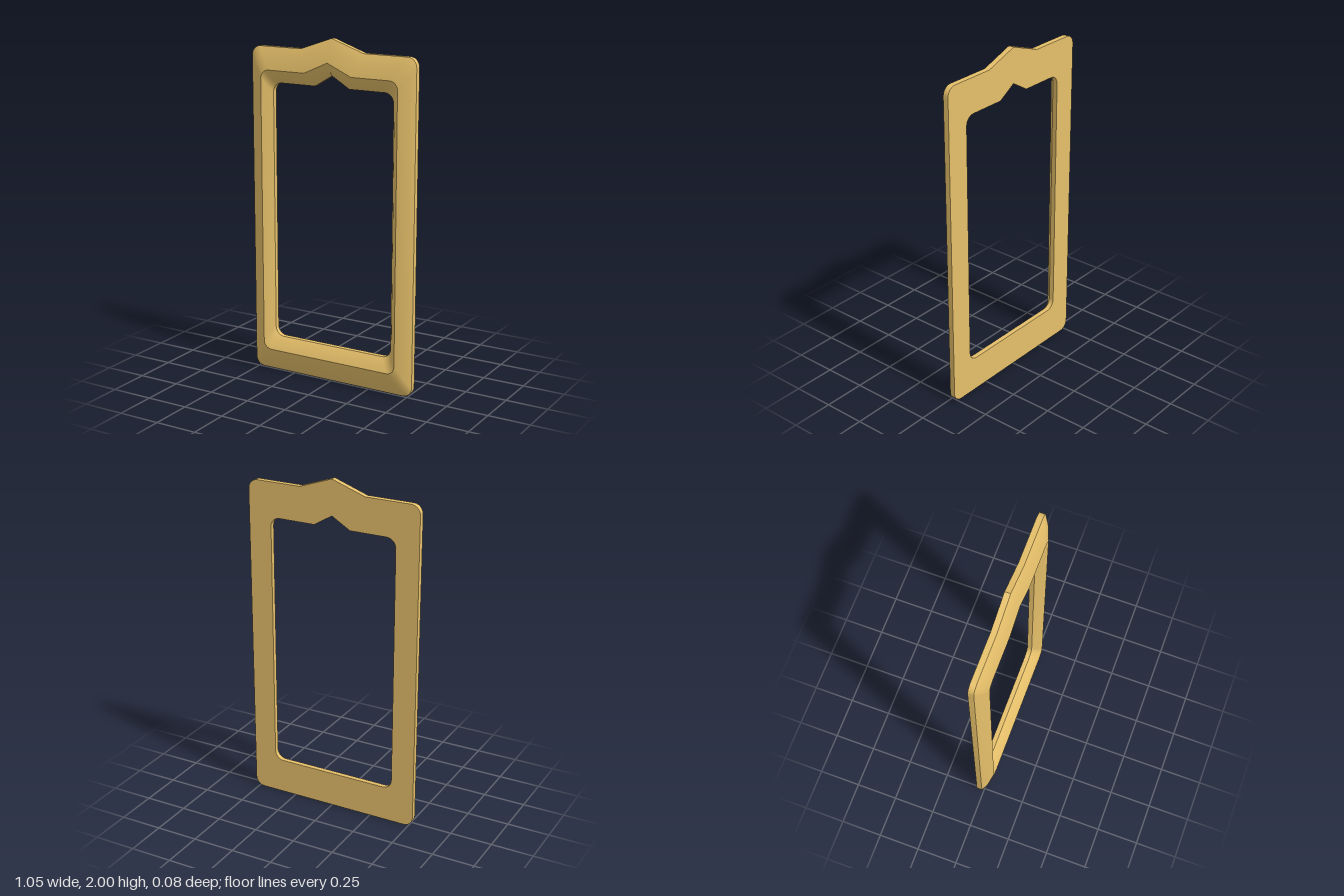
import * as THREE from 'three';
import { toCreasedNormals } from 'three/addons/utils/BufferGeometryUtils.js';

// Outlines of the frame: half width, bottom, top, peak, peak half width, corner radius
const OUTER = [0.525, 0, 1.93, 2, 0.2, 0.055];
const RIDGE = [0.437, 0.135, 1.803, 1.87, 0.15, 0.05];
const OPENING = [0.386, 0.21, 1.727, 1.793, 0.11, 0.055];

const mix = (a, b, t) => a.map((v, i) => v + (b[i] - v) * t);

// Rounded rectangle with a pointed crest in its top edge, counter-clockwise
function outline([w, bottom, top, peak, crest, r]) {
  const points = [];
  const corner = (cx, cy, start) => {
    for (let i = 0; i <= 6; i++) {
      const a = start + (i / 6) * Math.PI / 2;
      points.push([cx + r * Math.cos(a), cy + r * Math.sin(a)]);
    }
  };
  corner(w - r, bottom + r, -Math.PI / 2);
  corner(w - r, top - r, 0);
  points.push([crest, top], [0, peak], [-crest, top]);
  corner(-w + r, top - r, Math.PI / 2);
  corner(-w + r, bottom + r, Math.PI);
  return points;
}

// Join a closed series of outlines, each at its own depth
function loftRings(rings) {
  const positions = [];
  const index = [];
  const n = outline(rings[0][0]).length;
  for (const [shape, z] of rings) {
    for (const [x, y] of outline(shape)) positions.push(x, y, z);
  }
  rings.forEach((_, k) => {
    const a = k * n;
    const b = ((k + 1) % rings.length) * n;
    for (let i = 0; i < n; i++) {
      const j = (i + 1) % n;
      index.push(a + i, a + j, b + j, a + i, b + j, b + i);
    }
  });
  const geometry = new THREE.BufferGeometry();
  geometry.setAttribute('position', new THREE.Float32BufferAttribute(positions, 3));
  geometry.setIndex(index);
  return toCreasedNormals(geometry, 0.5);
}

export function createModel() {
  const group = new THREE.Group();
  group.name = 'pictureFrame';

  // Moulding: outer wall, swelling bevel up to the ridge, inner bevel, opening wall, flat back
  const geometry = loftRings([
    [OUTER, -0.041],
    [OUTER, -0.008],
    [mix(OUTER, RIDGE, 0.38), 0.019],
    [RIDGE, 0.041],
    [mix(RIDGE, OPENING, 0.6), 0.016],
    [OPENING, -0.012],
    [OPENING, -0.041],
  ]);
  const moulding = new THREE.Mesh(geometry, new THREE.MeshStandardMaterial({ color: 0xe6c06a }));
  moulding.name = 'frameMoulding';
  group.add(moulding);
  return group;
}
